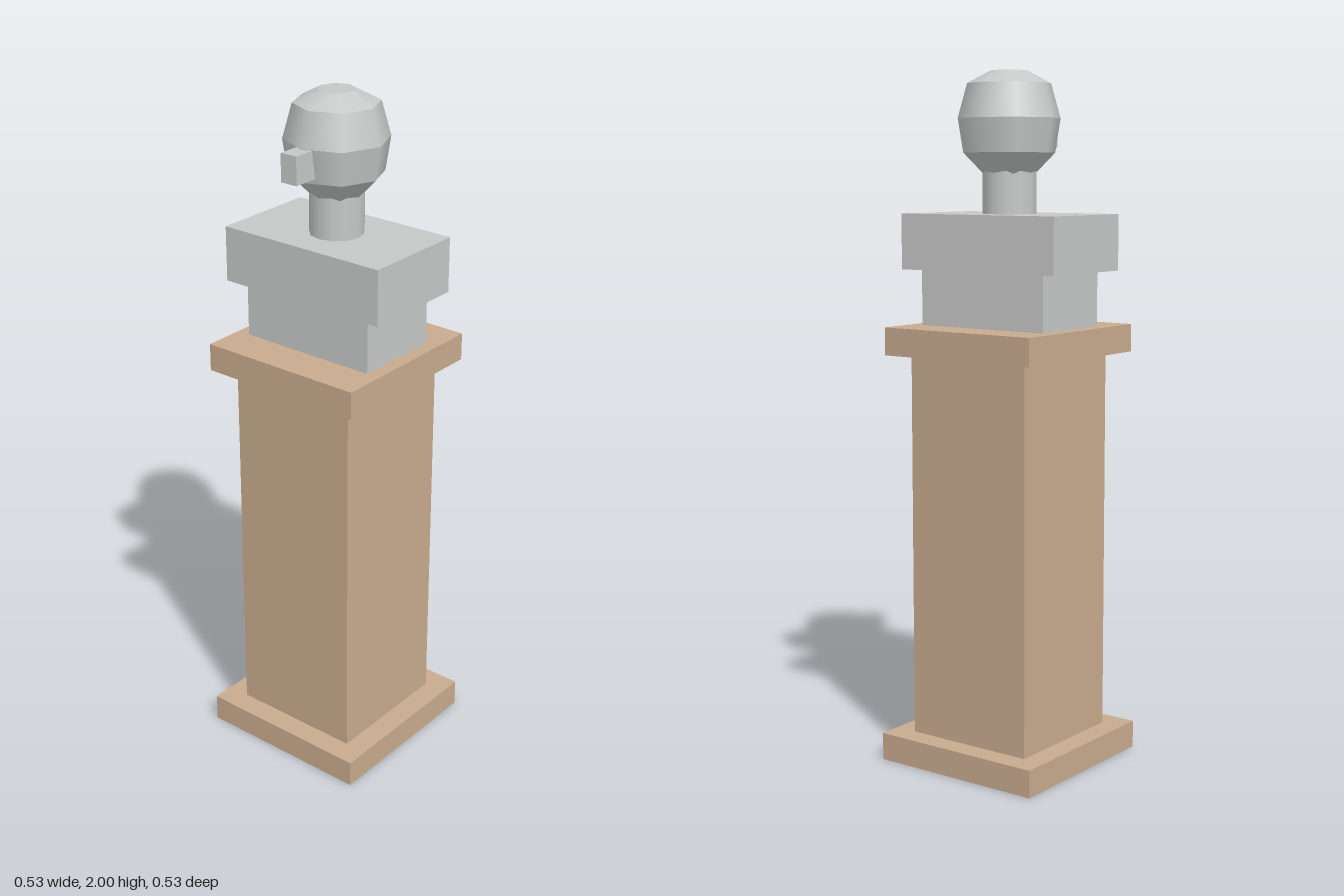
import * as THREE from 'three';

export function createModel() {
  const model = new THREE.Group();
  model.name = 'bustOnPedestal';

  const sandstone = new THREE.MeshStandardMaterial({ color: 0xc9ab8e });
  sandstone.name = 'sandstone';
  const marble = new THREE.MeshStandardMaterial({ color: 0xc6c8c7 });
  marble.name = 'pale grey stone';

  const add = (name, geometry, material, y, z = 0, parent = model) => {
    const mesh = new THREE.Mesh(geometry, material);
    mesh.name = name;
    mesh.position.set(0, y, z);
    parent.add(mesh);
    return mesh;
  };

  // Box given by its width, depth and vertical extent
  const block = (name, material, width, depth, y0, y1, z = 0) =>
    add(name, new THREE.BoxGeometry(width, y1 - y0, depth), material, (y0 + y1) / 2, z);

  // Pedestal
  block('pedestalBase', sandstone, 0.533, 0.533, 0, 0.08);
  block('pedestalShaft', sandstone, 0.4, 0.4, 0.08, 1.2);
  block('pedestalCap', sandstone, 0.507, 0.507, 1.2, 1.28);

  // Torso
  block('chest', marble, 0.427, 0.267, 1.28, 1.44);
  block('shoulders', marble, 0.533, 0.32, 1.44, 1.6);

  // Neck
  add('neck', new THREE.CylinderGeometry(0.077, 0.077, 0.12, 12), marble, 1.66);

  // Eight-sided head: rings of [radius, height], crisp between bands
  const head = new THREE.Group();
  head.name = 'head';
  model.add(head);
  const rings = [[0.067, 1.705], [0.132, 1.772], [0.147, 1.868], [0.12, 1.965], [0.053, 2]];
  for (let i = 0; i < rings.length - 1; i++) {
    const [r0, y0] = rings[i];
    const [r1, y1] = rings[i + 1];
    add('headBand' + (i + 1), new THREE.CylinderGeometry(r1, r0, y1 - y0, 8, 1, true), marble, (y0 + y1) / 2, 0, head);
  }
  // Flat faces closing the head
  add('crown', new THREE.CircleGeometry(0.053, 8).rotateX(-Math.PI / 2), marble, 2, 0, head);
  add('headUnderside', new THREE.CircleGeometry(0.067, 8).rotateX(Math.PI / 2), marble, 1.705, 0, head);

  // Nose
  block('nose', marble, 0.053, 0.1, 1.787, 1.867, 0.15);

  return model;
}
